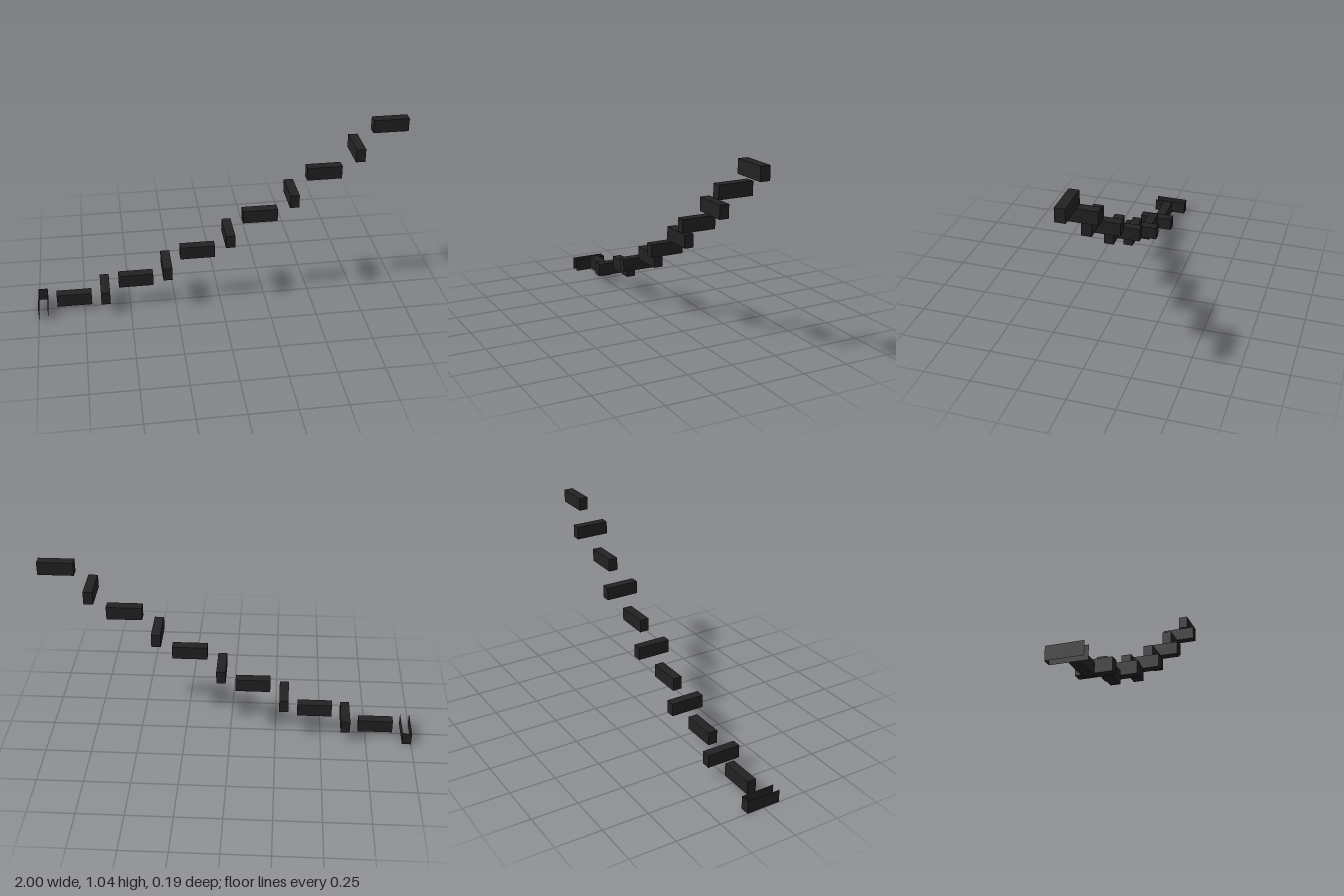
import * as THREE from 'three';

export function createModel() {
  const model = new THREE.Group();
  model.name = 'floatingSteps';

  const charcoal = new THREE.MeshStandardMaterial({ color: 0x222222 });
  charcoal.name = 'charcoal';
  const charcoalSheet = new THREE.MeshStandardMaterial({ color: 0x222222, side: THREE.DoubleSide });
  charcoalSheet.name = 'charcoalSheet';

  const H = 0.072, LONG = 0.187, THIN = 0.05;
  const STEP = 0.341;   // spacing between blocks of the same direction

  // Blocks alternate between lying across (along z) and lengthwise (along x)
  const crossHeights = [0.036, 0.103, 0.229, 0.407, 0.628, 0.876];
  const lengthHeights = [0.063, 0.159, 0.312, 0.513, 0.749, 1.005];
  const crossGeometry = new THREE.BoxGeometry(THIN, H, LONG);
  const lengthGeometry = new THREE.BoxGeometry(0.189, H, 0.052);

  function addBlock(name, geometry, x, y) {
    const mesh = new THREE.Mesh(geometry, charcoal);
    mesh.name = name;
    mesh.position.set(x, y, 0);
    model.add(mesh);
  }

  for (let i = 0; i < 6; i++) {
    if (i > 0) addBlock('crossBlock' + i, crossGeometry, -0.975 + i * STEP, crossHeights[i]);
    addBlock('lengthBlock' + i, lengthGeometry, -0.804 + i * STEP, lengthHeights[i]);
  }

  // The lowest block is an open shell: two side walls and a back wall
  const shell = new THREE.Group();
  shell.name = 'openCrossBlock';
  shell.position.set(-0.975, crossHeights[0], 0);
  for (const side of [-1, 1]) {
    const wall = new THREE.Mesh(new THREE.PlaneGeometry(LONG, H), charcoalSheet);
    wall.name = side < 0 ? 'rightWall' : 'leftWall';
    wall.rotation.y = side * Math.PI / 2;
    wall.position.x = side * THIN / 2;
    shell.add(wall);
  }
  const back = new THREE.Mesh(new THREE.PlaneGeometry(THIN, H), charcoalSheet);
  back.name = 'backWall';
  back.rotation.y = Math.PI;
  back.position.z = -LONG / 2;
  shell.add(back);
  model.add(shell);

  return model;
}
